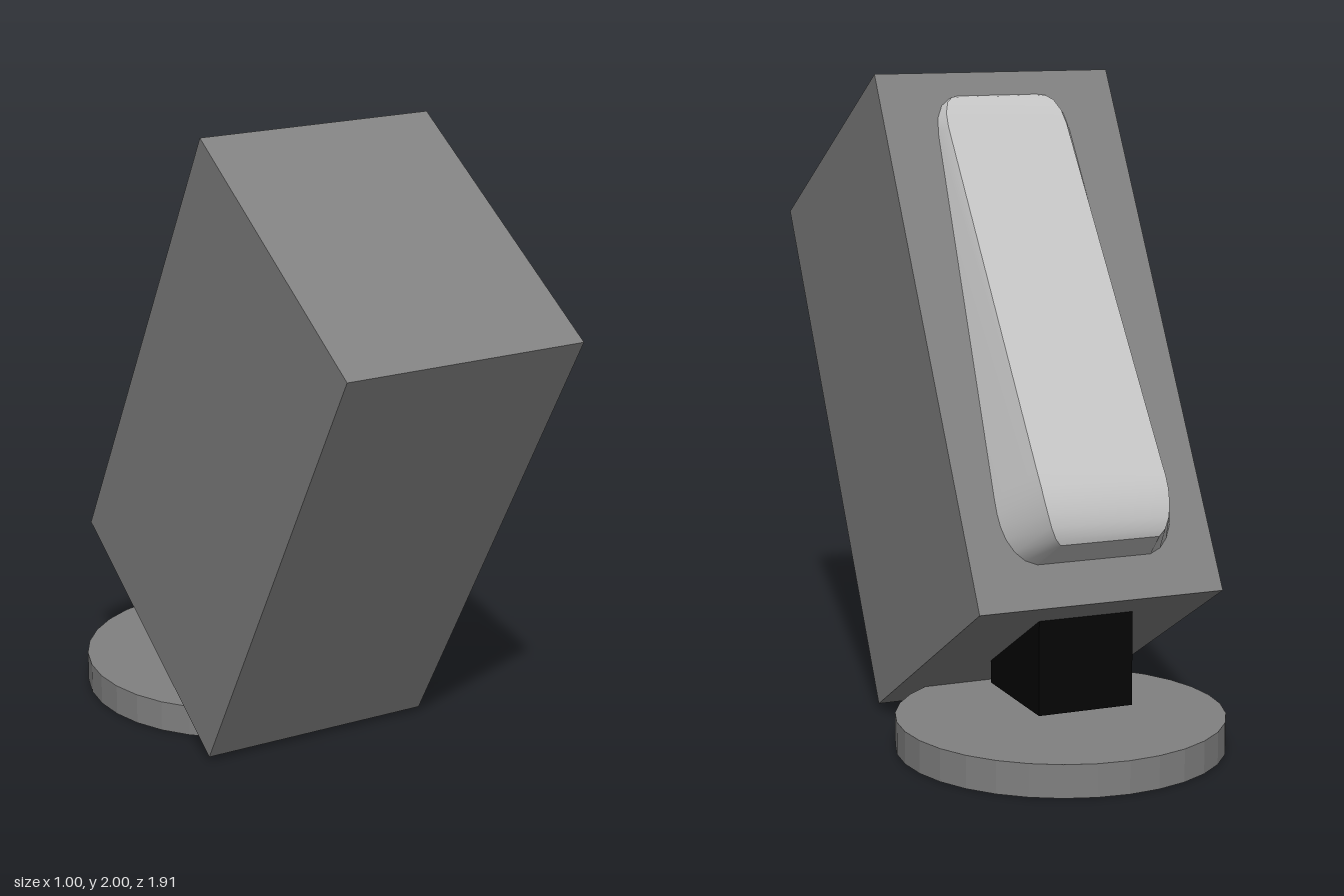
import * as THREE from 'three';

const grey = new THREE.MeshStandardMaterial({ name: 'midGrey', color: 0x808080 });
const pale = new THREE.MeshStandardMaterial({ name: 'paleGrey', color: 0xc3c3c3 });
const black = new THREE.MeshStandardMaterial({ name: 'black', color: 0x050505 });

function addMesh(parent, name, geometry, material, x = 0, y = 0, z = 0) {
  const mesh = new THREE.Mesh(geometry, material);
  mesh.name = name;
  mesh.position.set(x, y, z);
  parent.add(mesh);
  return mesh;
}

// Wedge lofted down the back: each strip is smooth, edges between strips stay sharp
function wedgeGeometry(top, back) {
  // distance down, outer half width, inner half width, height
  const stations = [
    [0.08, 0.13, 0.135, 0], [0.09, 0.155, 0.165, 0.012], [0.11, 0.175, 0.19, 0.02],
    [0.15, 0.19, 0.21, 0.028], [0.2, 0.195, 0.218, 0.035], [1.35, 0.196, 0.272, 0.17],
    [1.4, 0.196, 0.273, 0.177], [1.44, 0.195, 0.27, 0.178], [1.48, 0.191, 0.261, 0.174],
    [1.52, 0.184, 0.242, 0.164], [1.55, 0.172, 0.215, 0.149], [1.567, 0.155, 0.18, 0.134],
  ];
  const outer = (s) => stations.map(([d, w, , h]) => [s * w, top - d, back - h]);
  const inner = (s) => stations.map(([d, , w, h]) => [s * w, top - d - 0.1 * h, back + 0.002]);
  const positions = [], index = [];
  const strip = (P, Q) => {
    const start = positions.length / 3;
    P.forEach((p, i) => positions.push(...p, ...Q[i]));
    for (let i = 0; i < P.length - 1; i++) {
      const a = start + i * 2;
      index.push(a, a + 2, a + 3, a, a + 3, a + 1);
    }
  };
  const [oL, oR, iL, iR] = [outer(1), outer(-1), inner(1), inner(-1)];
  strip(oL, oR);
  strip(iL, oL);
  strip(oR, iR);
  strip([oL.at(-1), iL.at(-1)], [oR.at(-1), iR.at(-1)]);
  const geometry = new THREE.BufferGeometry();
  geometry.setAttribute('position', new THREE.Float32BufferAttribute(positions, 3));
  geometry.setIndex(index);
  geometry.computeVertexNormals();
  return geometry;
}

export function createModel() {
  const model = new THREE.Group();
  model.name = 'tiltedBoxOnStand';

  // Round foot
  const disc = new THREE.CylinderGeometry(0.5, 0.5, 0.1, 32).toNonIndexed();
  disc.computeVertexNormals();
  addMesh(model, 'baseDisc', disc, grey, 0, 0.05, -0.457);

  // Neck, running up into the body
  addMesh(model, 'neck', new THREE.BoxGeometry(0.3, 0.42, 0.375), black, 0, 0.37, -0.457);

  // Body and back wedge, leaning forward together
  const head = new THREE.Group();
  head.name = 'head';
  head.position.set(0, 1.008, 0.095);
  head.rotation.x = Math.PI / 6;
  model.add(head);
  addMesh(head, 'body', new THREE.BoxGeometry(0.77, 1.712, 1), grey);
  addMesh(head, 'backWedge', wedgeGeometry(0.856, -0.5), pale);

  return model;
}
